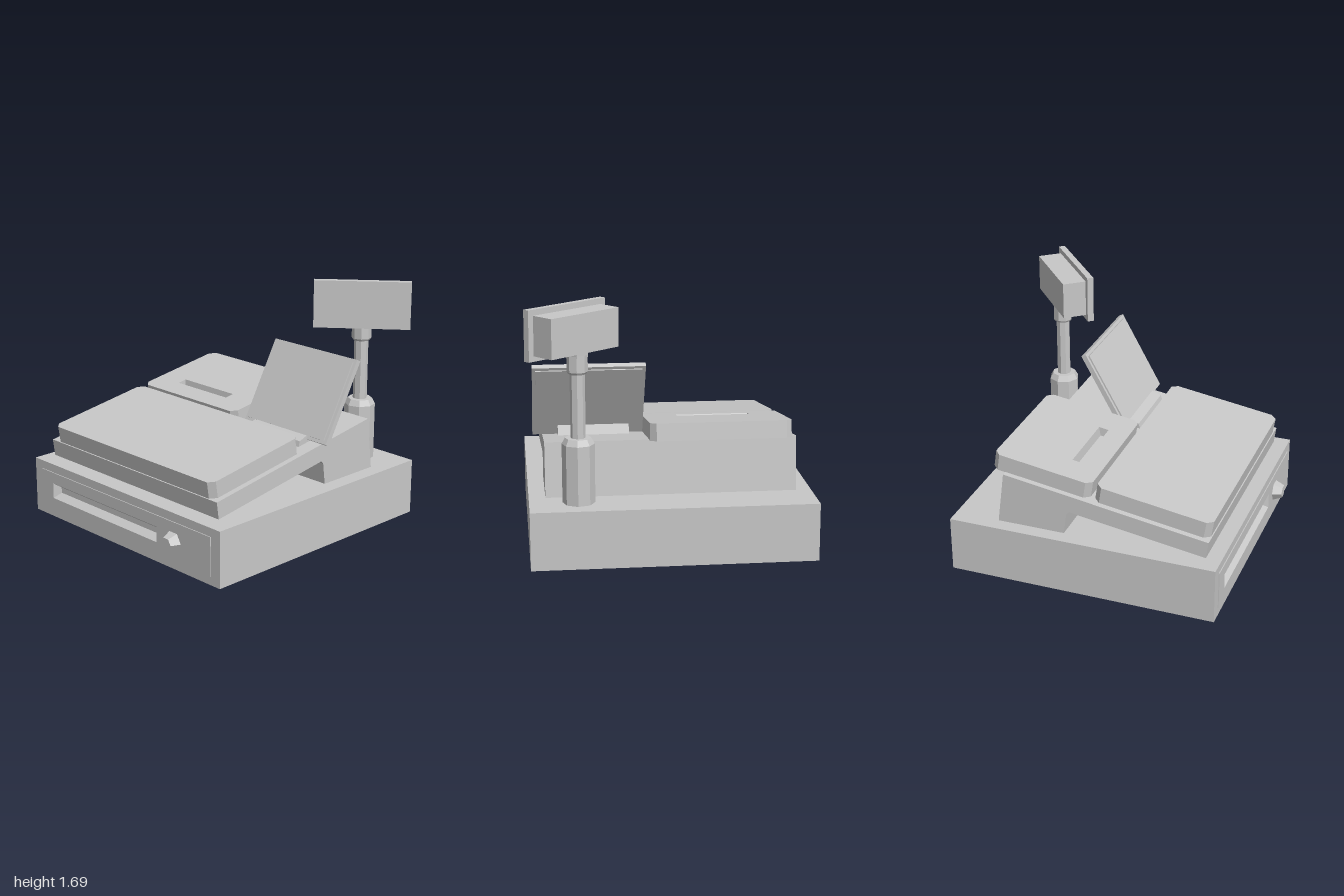
import * as THREE from 'three';

const grey = new THREE.MeshStandardMaterial({ color: 0xc8c8c8, flatShading: true });
grey.name = 'light grey';

function add(parent, name, geometry, x = 0, y = 0, z = 0) {
  const mesh = new THREE.Mesh(geometry, grey);
  mesh.name = name;
  mesh.position.set(x, y, z);
  parent.add(mesh);
  return mesh;
}

function box(parent, name, x0, x1, y0, y1, z0, z1) {
  return add(parent, name, new THREE.BoxGeometry(x1 - x0, y1 - y0, z1 - z0),
    (x0 + x1) / 2, (y0 + y1) / 2, (z0 + z1) / 2);
}

const loop = (points) => points.map(([x, y]) => new THREE.Vector2(x, y));
const rect = (x0, x1, y0, y1) => [[x0, y0], [x1, y0], [x1, y1], [x0, y1]];

// Rectangle with cut corners
const cutRect = (x0, x1, y0, y1, c) => [
  [x0 + c, y0], [x1 - c, y0], [x1, y0 + c], [x1, y1 - c],
  [x1 - c, y1], [x0 + c, y1], [x0, y1 - c], [x0, y0 + c]];

function slab(outline, depth, hole) {
  const shape = new THREE.Shape(loop(outline));
  if (hole) shape.holes.push(new THREE.Path(loop(hole)));
  return new THREE.ExtrudeGeometry(shape, { depth, bevelEnabled: false });
}

// Sunken pocket opening towards +z, with sloping walls and a floor
function pocket([x0, x1, y0, y1], ix, iy, depth) {
  const rim = rect(x0, x1, y0, y1).map(([x, y]) => [x, y, 0]);
  const floor = rect(x0 + ix, x1 - ix, y0 + iy, y1 - iy).map(([x, y]) => [x, y, -depth]);
  const pos = [];
  const quad = (a, b, c, d) => pos.push(...a, ...b, ...c, ...a, ...c, ...d);
  for (let i = 0; i < 4; i++) {
    const j = (i + 1) % 4;
    quad(rim[i], rim[j], floor[j], floor[i]);
  }
  quad(...floor);
  const g = new THREE.BufferGeometry();
  g.setAttribute('position', new THREE.Float32BufferAttribute(pos, 3));
  g.computeVertexNormals();
  return g;
}

// Side profile given as [z, y], swept across from x0 to x1
function sideProfile(points, x0, x1) {
  const g = slab(points.map(([z, y]) => [-z, y]), x1 - x0);
  g.rotateY(Math.PI / 2);
  g.translate(x0, 0, 0);
  return g;
}

export function createModel() {
  const model = new THREE.Group();
  model.name = 'cashRegister';

  // Cash drawer with a sunken pull and a lock knob
  const drawer = new THREE.Group();
  drawer.name = 'cashDrawer';
  model.add(drawer);
  const pull = [-0.75, 0.34, 0.14, 0.25];
  box(drawer, 'drawerCase', -0.95, 0.93, 0, 0.39, -0.945, 0.87);
  add(drawer, 'caseFront', slab(rect(-0.95, 0.93, 0, 0.39), 0.06, rect(...pull)), 0, 0, 0.87);
  add(drawer, 'drawerFace', slab(rect(-0.87, 0.85, 0.06, 0.33), 0.006, rect(...pull)), 0, 0, 0.93);
  add(drawer, 'drawerPull', pocket(pull, 0.03, 0.035, 0.05), 0, 0, 0.936);
  const knob = new THREE.CylinderGeometry(0.045, 0.073, 0.066, 6);
  knob.rotateY(Math.PI / 2);
  knob.rotateX(Math.PI / 2);
  add(drawer, 'lockKnob', knob, 0.503, 0.195, 0.967);

  // Sloping body with an overhanging front
  add(model, 'body', sideProfile([
    [0.834, 0.412], [0.85, 0.53], [-0.583, 0.754], [-0.63, 0.39],
    [-0.155, 0.39], [-0.135, 0.54], [-0.115, 0.56],
  ], -0.85, 0.82));

  // Plates lying on the slope: outlines are drawn in x and distance up the slope
  const slope = new THREE.Group();
  slope.name = 'slopedTop';
  slope.position.set(0, 0.53, 0.842);
  slope.rotation.x = 0.154;
  model.add(slope);
  const thick = 0.117;
  const slot = [-0.595, -0.1, 0.99, 1.06];
  const lay = (name, g) => add(slope, name, g.rotateX(-Math.PI / 2));
  lay('keyboard', slab(cutRect(-0.81, 0.78, 0, 0.81, 0.04), thick));
  lay('printerCover', slab(cutRect(-0.81, 0.13, 0.842, 1.54, 0.04), thick, rect(...slot)));
  lay('receiptSlot', pocket(slot, 0.004, 0.02, 0.06).translate(0, 0, thick));

  // Tilted operator screen on its bracket
  add(model, 'screenBracket', sideProfile([
    [0, 0.655], [-0.015, 0.7], [-0.08, 0.725], [-0.16, 0.76], [-0.19, 0.685],
  ], 0.23, 0.715));
  const screen = new THREE.Group();
  screen.name = 'operatorScreen';
  screen.position.set(0.51, 0.958, -0.24);
  screen.rotation.x = -0.512;
  model.add(screen);
  box(screen, 'screenFrame', -0.377, 0.377, -0.302, 0.302, -0.022, 0.014);
  box(screen, 'screenPanel', -0.355, 0.355, -0.28, 0.28, 0.014, 0.025);
  box(screen, 'screenBack', -0.355, 0.355, -0.28, 0.28, -0.03, -0.022);

  // Octagonal pole carrying the turned customer display
  const pole = new THREE.Group();
  pole.name = 'customerDisplay';
  pole.position.set(0.606, 0, -0.74);
  pole.rotation.y = 0.698;
  model.add(pole);
  const profile = [[0.107, 0.39], [0.107, 0.785], [0.085, 0.825], [0.049, 0.825],
    [0.049, 1.245], [0.058, 1.245], [0.068, 1.26], [0.068, 1.37]];
  add(pole, 'pole', new THREE.LatheGeometry(loop(profile), 8));
  box(pole, 'displayFace', -0.33, 0.33, 1.355, 1.685, 0.083, 0.128);
  box(pole, 'displayHousing', -0.29, 0.29, 1.39, 1.647, -0.083, 0.083);
  // Underside block joining the pole to the housing
  box(pole, 'displayMount', -0.05, 0.05, 1.355, 1.4, -0.05, 0.085);

  return model;
}
